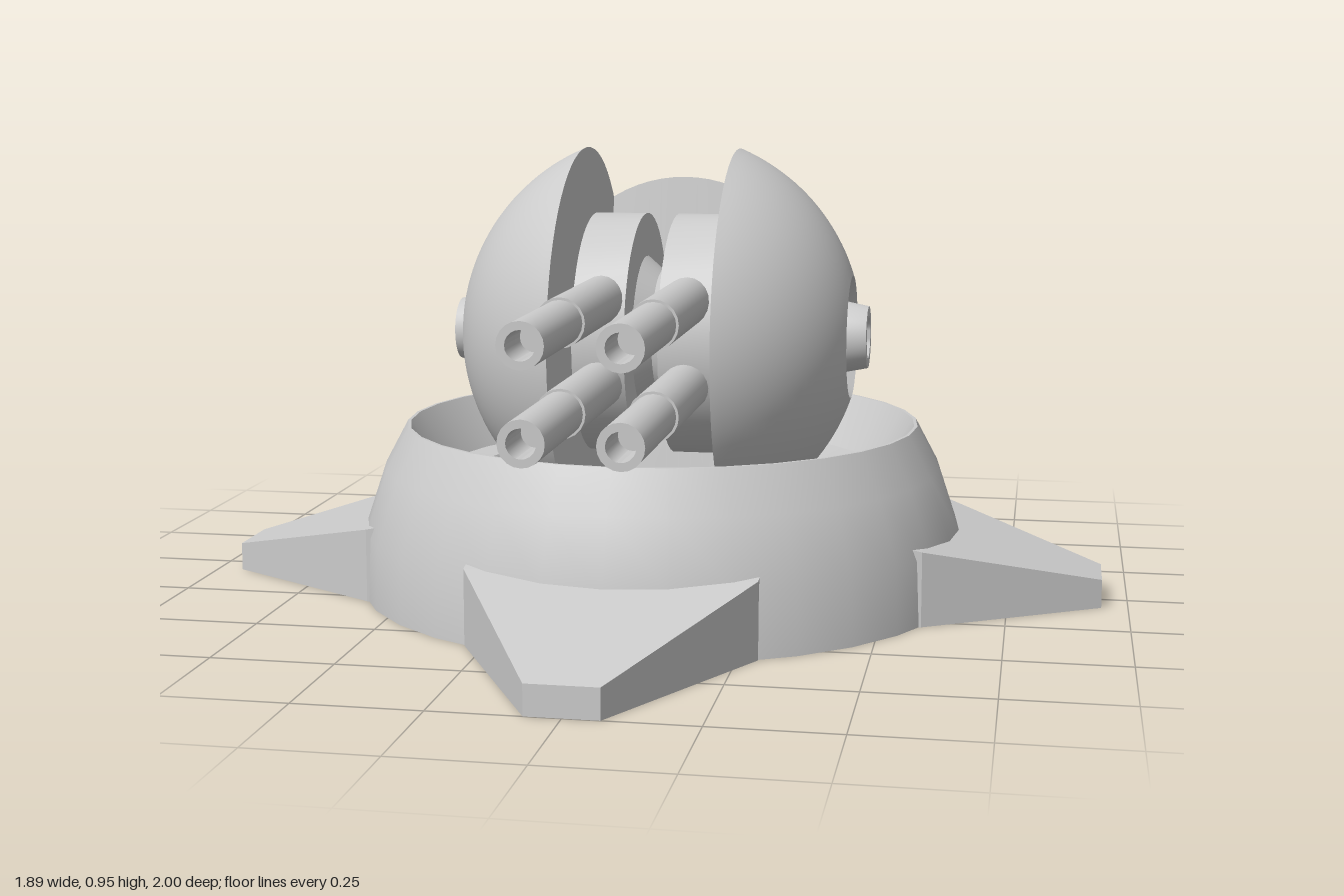
import * as THREE from 'three';
import { toCreasedNormals } from 'three/addons/utils/BufferGeometryUtils.js';
import { ParametricGeometry } from 'three/addons/geometries/ParametricGeometry.js';

const R = 0.43, CY = 0.55, SLOT = 0.165, BACK = -0.29;
const solid = new THREE.MeshStandardMaterial({ color: 0xcccccc });
const thin = new THREE.MeshStandardMaterial({ color: 0xcccccc, side: THREE.DoubleSide });

function add(parent, name, geometry, material = solid) {
  const mesh = new THREE.Mesh(geometry, material);
  mesh.name = name;
  parent.add(mesh);
  return mesh;
}

// Profile of [radius, height] pairs, spun with sharp edges kept
function spin(profile, segments) {
  const points = profile.map(([r, h]) => new THREE.Vector2(r, h));
  return toCreasedNormals(new THREE.LatheGeometry(points, segments), 0.6);
}

// Tapered foot pointing along +z: cross-sections [z, half width, height]
function footGeometry(tip) {
  const sections = [[0.5, 0.29, 0.173], [0.583, 0.29, 0.155], [tip, 0.07, 0.06]];
  const position = [], index = [];
  for (const [z, w, h] of sections) position.push(-w, 0, z, w, 0, z, w, h, z, -w, h, z);
  for (let s = 0; s < 2; s++) {
    for (let k = 0; k < 4; k++) {
      const a = s * 4 + k, b = s * 4 + (k + 1) % 4;
      index.push(a, b, b + 4, a, b + 4, a + 4);
    }
  }
  index.push(8, 9, 10, 8, 10, 11, 0, 2, 1, 0, 3, 2);
  const geo = new THREE.BufferGeometry();
  geo.setAttribute('position', new THREE.Float32BufferAttribute(position, 3));
  geo.setIndex(index);
  const flat = geo.toNonIndexed();
  flat.computeVertexNormals();
  return flat;
}

export function createModel() {
  const model = new THREE.Group();
  model.name = 'turret';

  // Round base with a sunken bowl
  add(model, 'base', spin([
    [0, 0], [0.65, 0], [0.645, 0.135], [0.6, 0.27], [0.552, 0.36], [0.545, 0.36],
    [0.48, 0.25], [0.42, 0.245], [0.4, 0.21], [0, 0.2],
  ], 32));

  // Four feet, the side pair slightly shorter
  for (let i = 0; i < 4; i++) {
    add(model, 'foot', footGeometry(i % 2 ? 0.945 : 1)).rotation.y = i * Math.PI / 2;
  }

  const head = new THREE.Group();
  head.name = 'head';
  head.position.y = CY;
  model.add(head);

  // Two side caps of the ball, each with a conical recess and hollow hub
  const cap = [[0, SLOT]];
  const a0 = Math.asin(SLOT / R), a1 = Math.acos(0.13 / R);
  for (let i = 0; i <= 20; i++) {
    const a = a0 + (a1 - a0) * i / 20;
    cap.push([R * Math.cos(a), R * Math.sin(a)]);
  }
  cap.push([0.085, 0.35], [0, 0.35]);
  const capGeo = spin(cap, 64);
  const hubGeo = spin([
    [0.075, 0.34], [0.075, 0.4], [0.066, 0.445], [0.045, 0.445],
    [0.036, 0.41], [0.018, 0.41], [0.014, 0.425], [0, 0.425],
  ], 32);
  for (const side of [-1, 1]) {
    add(head, 'sideCap', capGeo).rotation.z = -side * Math.PI / 2;
    add(head, 'hub', hubGeo).rotation.z = -side * Math.PI / 2;
  }

  // Back of the ball between the caps
  add(head, 'backShell', new ParametricGeometry((u, v, p) => {
    const x = (u * 2 - 1) * SLOT, r = Math.sqrt(R * R - x * x);
    const start = Math.acos(BACK / r);
    const a = start + (Math.PI * 1.5 - start) * v;
    p.set(x, r * Math.sin(a), r * Math.cos(a));
  }, 12, 32), thin);

  // Sloping wall closing the rear of the slot
  add(head, 'slotWall', new ParametricGeometry((u, v, p) => {
    const x = (u * 2 - 1) * SLOT;
    const top = Math.sqrt(R * R - x * x - BACK * BACK);
    p.set(x, -0.35 + (top + 0.35) * v, -0.2 + (BACK + 0.2) * v);
  }, 12, 1), thin);

  // Grooved axle carrying the gun wheels
  add(head, 'axle', spin([
    [0, -SLOT], [0.165, -SLOT], [0.14, -0.145], [0.14, -0.06], [0.165, -0.035], [0.135, 0],
    [0.165, 0.035], [0.14, 0.06], [0.14, 0.145], [0.165, SLOT], [0, SLOT],
  ], 40)).rotation.z = -Math.PI / 2;

  // Two wheels, each with an upper and a lower barrel
  const wheelGeo = spin([[0, -0.055], [0.257, -0.055], [0.257, 0.055], [0, 0.055]], 48);
  const barrelGeo = spin([
    [0, 0.1], [0.049, 0.1], [0.049, 0.6], [0.044, 0.6], [0.044, 0.915],
    [0.028, 0.915], [0.028, 0.8], [0, 0.8],
  ], 20);
  for (const x of [-0.09, 0.09]) {
    const wheel = add(head, 'gunWheel', wheelGeo);
    wheel.rotation.z = -Math.PI / 2;
    wheel.position.x = x;
    for (const y of [-0.08, 0.095]) {
      const barrel = add(head, 'barrel', barrelGeo);
      barrel.rotation.x = Math.PI / 2;
      barrel.position.set(x, y, 0);
    }
  }
  return model;
}
